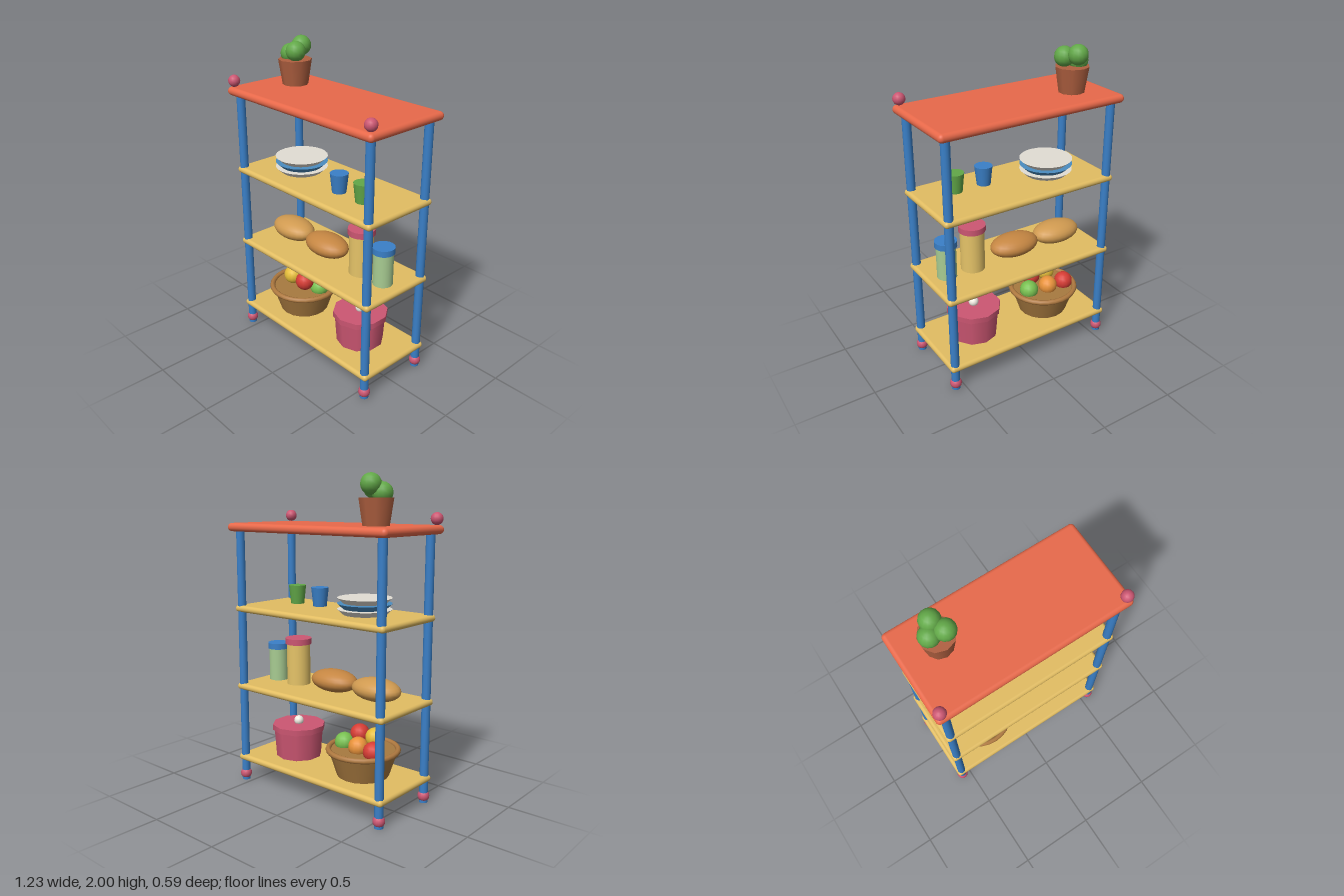
import * as THREE from 'three';
import { RoundedBoxGeometry } from 'three/addons/geometries/RoundedBoxGeometry.js';

const BLUE = 0x3a80c8, RED = 0xe8694a, WOOD = 0xe2bd62, PINK = 0xcc5672;
const GREEN = 0x62a848, WHITE = 0xe2ded4;

export function createModel() {
  const model = new THREE.Group();

  const add = (parent, name, geometry, color, x, y, z) => {
    const mesh = new THREE.Mesh(geometry, new THREE.MeshStandardMaterial({ color }));
    mesh.name = name;
    mesh.position.set(x, y, z);
    parent.add(mesh);
    return mesh;
  };
  const group = (name, x, y, z) => {
    const g = new THREE.Group();
    g.name = name;
    g.position.set(x, y, z);
    model.add(g);
    return g;
  };
  const ball = (parent, name, r, color, x, y, z) =>
    add(parent, name, new THREE.SphereGeometry(r, 14, 10), color, x, y, z);
  // Tapered drum standing on height y
  const drum = (parent, name, rTop, rBottom, h, color, x, y, z, sides = 20) =>
    add(parent, name, new THREE.CylinderGeometry(rTop, rBottom, h, sides), color, x, y + h / 2, z);
  // Board with fully rounded rim, its top at height y
  const board = (name, w, h, d, color, y) =>
    add(model, name, new RoundedBoxGeometry(w, h, d, 4, h * 0.49), color, 0, y - h / 2, 0);

  // Shelves and top
  const shelfTops = [0.178, 0.667, 1.182];
  shelfTops.forEach(y => board('shelf', 1.184, 0.042, 0.53, WOOD, y));
  board('topBoard', 1.234, 0.052, 0.586, RED, 1.704);

  // Posts, ball feet and front finials
  for (const sx of [-1, 1]) {
    for (const sz of [-1, 1]) {
      drum(model, 'post', 0.027, 0.027, 1.67, BLUE, sx * 0.556, 0, sz * 0.232, 12);
      ball(model, 'foot', 0.037, PINK, sx * 0.556, 0.041, sz * 0.232);
    }
    ball(model, 'finial', 0.037, PINK, sx * 0.58, 1.741, 0.257);
  }

  // Potted plant
  const plant = group('pottedPlant', -0.386, 1.704, -0.067);
  drum(plant, 'plantPot', 0.104, 0.08, 0.155, 0xb06040, 0, 0, 0, 10);
  [[0, 0.23, -0.052], [-0.042, 0.182, 0], [0.04, 0.21, 0.027]]
    .forEach(p => ball(plant, 'foliage', 0.061, GREEN, ...p));

  // Stack of plates
  const plates = group('plateStack', -0.26, shelfTops[2], 0);
  [WHITE, 0x4a8cc0, WHITE].forEach((color, i) =>
    drum(plates, 'plate', 0.165, 0.13, 0.032, color, 0, i * 0.034, 0, 24));

  // Cups
  drum(model, 'blueCup', 0.056, 0.043, 0.12, BLUE, 0.152, shelfTops[2], 0.066, 16);
  drum(model, 'greenCup', 0.056, 0.043, 0.12, GREEN, 0.347, shelfTops[2], 0.066, 16);

  // Loaves of bread
  [[-0.352, 0xd09a50], [-0.026, 0xc58642]].forEach(([x, color]) =>
    add(model, 'loaf', new THREE.SphereGeometry(1, 24, 14), color, x, shelfTops[1] + 0.07, 0)
      .scale.set(0.167, 0.07, 0.109));

  // Lidded jars
  const jar = (name, x, r, h, color, lidColor) => {
    const g = group(name, x, shelfTops[1], 0);
    drum(g, 'jarBody', r, r, h, color, 0, 0, 0);
    drum(g, 'jarLid', r * 1.12, r * 1.12, 0.038, lidColor, 0, h, 0);
  };
  jar('tallJar', 0.281, 0.076, 0.265, 0xe6c468, PINK);
  jar('shortJar', 0.463, 0.062, 0.21, 0xa8cc92, BLUE);

  // Fruit basket
  const basket = group('fruitBasket', -0.258, shelfTops[0], 0);
  drum(basket, 'basketBody', 0.215, 0.162, 0.163, 0xa87a40, 0, 0, 0, 18);
  add(basket, 'basketRim', new THREE.TorusGeometry(0.216, 0.017, 8, 28), 0xb07a40, 0, 0.163, 0)
    .rotation.x = Math.PI / 2;
  [[-0.054, 0.235, 0.05, 0xe6be3a], [0.065, 0.235, 0.05, 0xd63c34], [0.128, 0.185, -0.025, 0x78c050],
    [-0.125, 0.19, -0.065, 0xd63c34], [-0.004, 0.192, -0.055, 0xe8923a]]
    .forEach(([x, y, z, color]) => ball(basket, 'fruit', 0.062, color, x, y, z));

  // Cooking pot
  const pot = group('cookingPot', 0.284, shelfTops[0], 0);
  drum(pot, 'potBody', 0.163, 0.15, 0.18, PINK, 0, 0, 0, 10);
  drum(pot, 'potLid', 0.174, 0.174, 0.036, PINK, 0, 0.178, 0, 10);
  ball(pot, 'potKnob', 0.032, 0xf0ece2, 0, 0.232, 0);

  return model;
}
